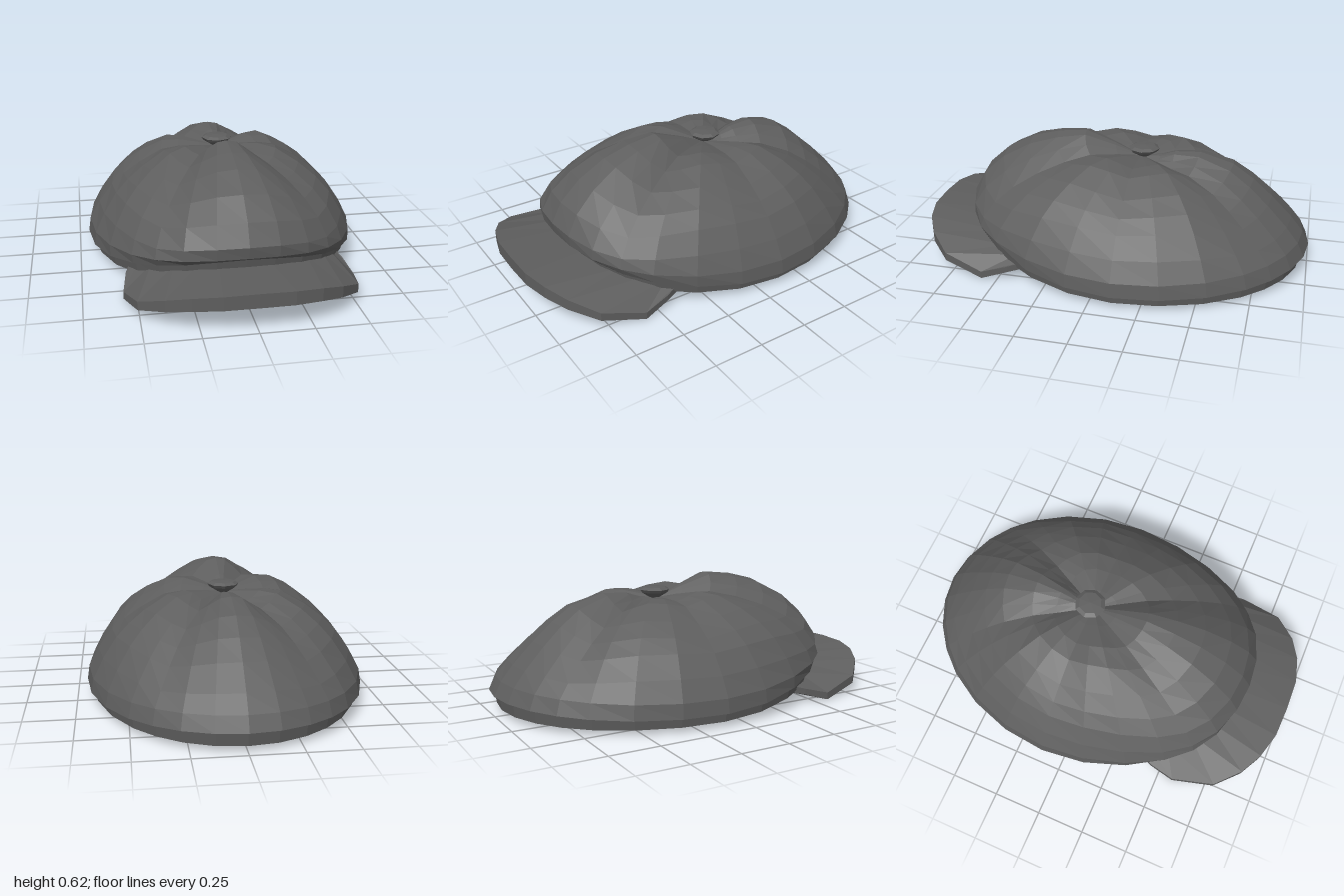
import * as THREE from 'three';

const CZ = -0.115, RX = 0.7, RZ = 0.885; // crown outline ellipse
const QUAD = [0, 12, 24, 35, 46, 60, 75, 90]; // column angles in one quarter
const HALF = [...QUAD, ...QUAD.slice(0, -1).reverse().map(a => 180 - a)];
const ANGLES = [...HALF, ...HALF.slice(1, -1).reverse().map(a => 360 - a)];

// Rows from the top down: [radius share, height] at the front, side and back
const CROWN = [
  [[0, 0.51], [0, 0.51], [0, 0.51]],
  [[0.15, 0.567], [0.14, 0.525], [0.12, 0.525]],
  [[0.33, 0.625], [0.3, 0.535], [0.2, 0.548]],
  [[0.5, 0.607], [0.43, 0.525], [0.35, 0.556]],
  [[0.66, 0.57], [0.6, 0.46], [0.54, 0.508]],
  [[0.82, 0.495], [0.72, 0.4], [0.66, 0.435]],
  [[0.94, 0.4], [0.81, 0.34], [0.77, 0.35]],
  [[1, 0.3], [0.91, 0.24], [0.89, 0.245]],
  [[0.99, 0.243], [0.985, 0.14], [0.96, 0.17]],
  [[0.95, 0.222], [1, 0.07], [1, 0.1]],
];
const BAND = [
  CROWN[9],
  [[0.935, 0.222], [0.965, 0.073], [0.97, 0.095]],
  [[0.91, 0.13], [0.955, 0.024], [0.96, 0.028]],
  [[0.86, 0.13], [0.88, 0.032], [0.89, 0.035]],
  [[0.875, 0.21], [0.9, 0.09], [0.9, 0.11]],
];
const VALLEY = [0, 0.025, 0.055, 0.065, 0.064, 0.055, 0.042, 0.022, 0, 0]; // seam depth per row

// One ring: blends the three profiles around the head, sinking four deep seams and two side ones
function ring([f, s, b], depth = 0, lift = 0) {
  return ANGLES.map(deg => {
    const a = THREE.MathUtils.degToRad(deg), c = Math.cos(a), n = Math.sin(a);
    const end = c > 0 ? f : b;
    const mix = k => end[k] * c * c + s[k] * n * n;
    const fromAxis = Math.min(deg % 180, 180 - (deg % 180));
    const dip = (at, width) => Math.max(0, 1 - Math.abs(fromAxis - at) / width);
    const groove = depth * (dip(35, 26) + 0.3 * dip(90, 16));
    const fuller = c > 0 ? 1 + 0.06 * Math.sin(2 * a) ** 2 * c * c : 1;
    const r = mix(0) * fuller;
    return new THREE.Vector3(RX * r * n, mix(1) - groove + lift, CZ + RZ * r * c);
  });
}

// Faceted skin over closed rings, with optional end caps for four-point rings
function loft(rings, caps = false) {
  const pos = [];
  const quad = (a, b, c, d) => {
    for (const p of [a, b, c, a, c, d]) pos.push(p.x, p.y, p.z);
  };
  for (let i = 0; i < rings.length - 1; i++) {
    const A = rings[i], B = rings[i + 1];
    A.forEach((p, j) => {
      const k = (j + 1) % A.length;
      quad(p, B[j], B[k], A[k]);
    });
  }
  if (caps) {
    quad(...rings[0]);
    quad(...[...rings[rings.length - 1]].reverse());
  }
  const g = new THREE.BufferGeometry();
  g.setAttribute('position', new THREE.Float32BufferAttribute(pos, 3));
  g.computeVertexNormals();
  return g;
}

// Visor stations from the middle to the tip: x, z, top height, thickness
const VISOR_OUTER = [[0, 1, 0.19, 0.068], [0.16, 0.995, 0.186, 0.066], [0.29, 0.96, 0.172, 0.062],
  [0.4, 0.9, 0.142, 0.055], [0.51, 0.79, 0.09, 0.042], [0.56, 0.58, 0.036, 0.036], [0.54, 0.45, 0.07, 0.03]];
const VISOR_INNER = [[0, 0.67, 0.173, 0.045], [0.12, 0.66, 0.171, 0.045], [0.22, 0.63, 0.164, 0.045],
  [0.32, 0.57, 0.149, 0.045], [0.42, 0.49, 0.126, 0.042], [0.475, 0.42, 0.108, 0.038], [0.51, 0.36, 0.095, 0.035]];

function visorGeometry() {
  const section = (i, side) => {
    const [ox, oz, oy, ot] = VISOR_OUTER[i], [ix, iz, iy, it] = VISOR_INNER[i];
    return [[ox, oy, oz], [ix, iy, iz], [ix, iy - it, iz], [ox, oy - ot, oz]]
      .map(([x, y, z]) => new THREE.Vector3(x * side, y, z));
  };
  const rings = [];
  for (let i = -6; i <= 6; i++) rings.push(section(Math.abs(i), i < 0 ? -1 : 1));
  return loft(rings, true);
}

export function createModel() {
  const cap = new THREE.Group();
  cap.name = 'flatCap';
  const cloth = new THREE.MeshStandardMaterial({ color: 0x5e5e5e });
  cloth.name = 'greyCloth';
  const add = (name, geometry) => {
    const m = new THREE.Mesh(geometry, cloth);
    m.name = name;
    cap.add(m);
    return m;
  };

  // Puffed crown with sunken seams
  add('crown', loft(CROWN.map((row, i) => ring(row, VALLEY[i]))));

  // Head band with a folded lower edge
  const band = BAND.map(row => ring(row));
  add('headBand', loft(band));

  // Lining inside the crown, running from the band up to the middle
  const lining = CROWN.slice(0, 8).map((row, i) =>
    ring(row.map(([r, y]) => [r * 0.972, y]), VALLEY[i], -0.016));
  add('lining', loft([band[4], ...lining.reverse()]));

  // Curved visor
  add('visor', visorGeometry());

  // Eight-sided button on a short stem
  const profile = [[0, 0.5], [0.03, 0.515], [0.07, 0.54], [0.08, 0.555], [0.06, 0.566], [0, 0.57]]
    .map(p => new THREE.Vector2(...p));
  const buttonGeometry = new THREE.LatheGeometry(profile, 8).toNonIndexed();
  buttonGeometry.computeVertexNormals();
  const button = add('button', buttonGeometry);
  button.position.z = -0.13;

  return cap;
}
